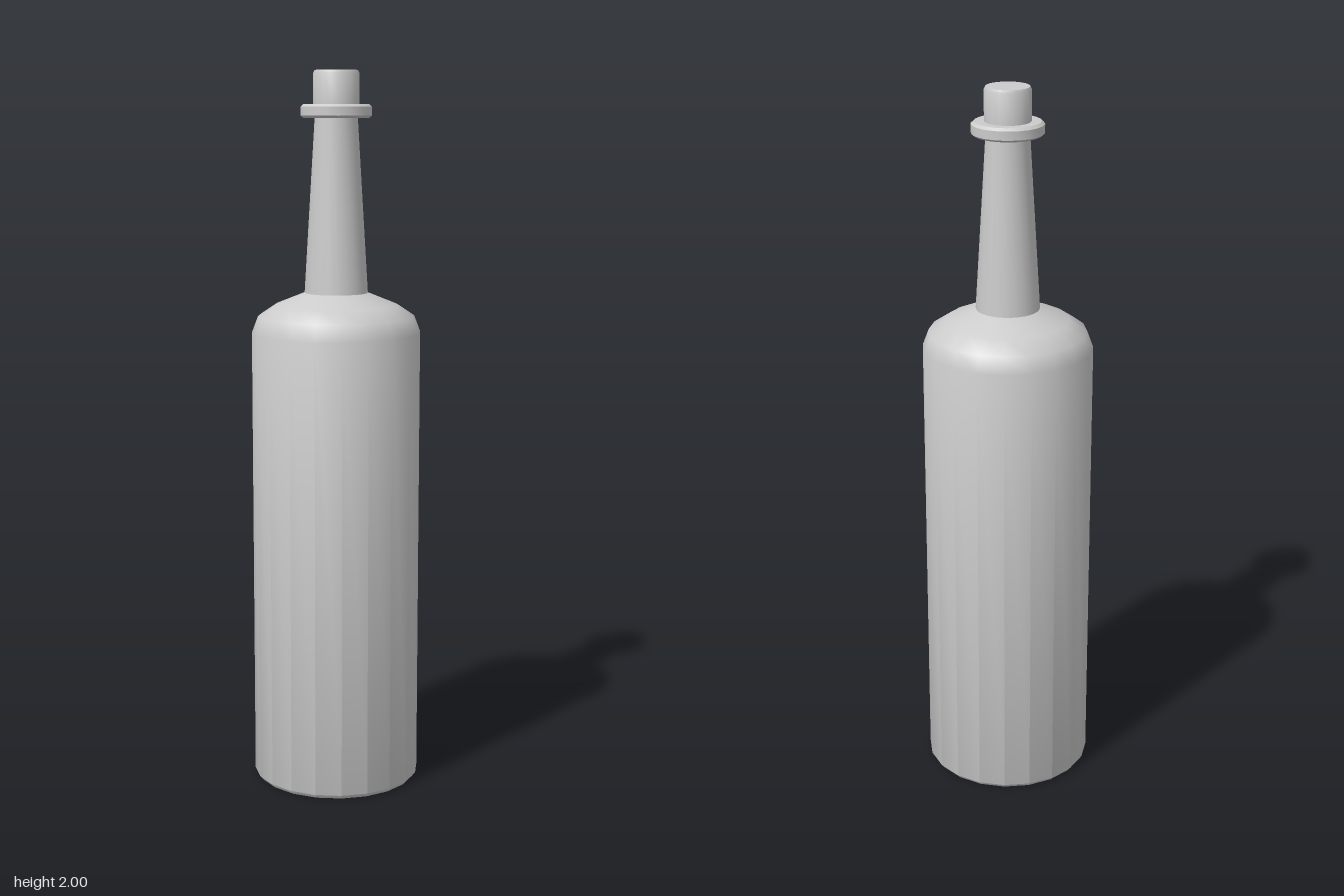
import * as THREE from 'three';
import { toCreasedNormals } from 'three/addons/utils/BufferGeometryUtils.js';

const SIDES = 20;
const material = new THREE.MeshStandardMaterial({ color: 0xcccccc });

// Revolves a bottom-to-top profile of [radius, height] pairs, smooth with sharp rims
function turned(name, profile) {
  const points = profile.map(([r, y]) => new THREE.Vector2(r, y));
  const geometry = toCreasedNormals(new THREE.LatheGeometry(points, SIDES), 0.7);
  const mesh = new THREE.Mesh(geometry, material);
  mesh.name = name;
  return mesh;
}

export function createModel() {
  const bottle = new THREE.Group();
  bottle.name = 'bottle';

  // Body with a flat base and rounded shoulder
  bottle.add(turned('body', [
    [0, 0], [0.225, 0], [0.235, 0.012], [0.235, 1.285],
    [0.218, 1.33], [0.17, 1.362], [0.088, 1.395],
  ]));

  // Tapering neck
  bottle.add(turned('neck', [[0.088, 1.395], [0.059, 1.875]]));

  // Collar ring with bevelled rims
  bottle.add(turned('collar', [
    [0.058, 1.872], [0.09, 1.872], [0.098, 1.878],
    [0.098, 1.902], [0.09, 1.909], [0.058, 1.909],
  ]));

  // Mouth closed by a flat stopper
  bottle.add(turned('stopper', [
    [0.063, 1.905], [0.063, 1.992], [0.059, 2], [0, 2],
  ]));

  return bottle;
}
